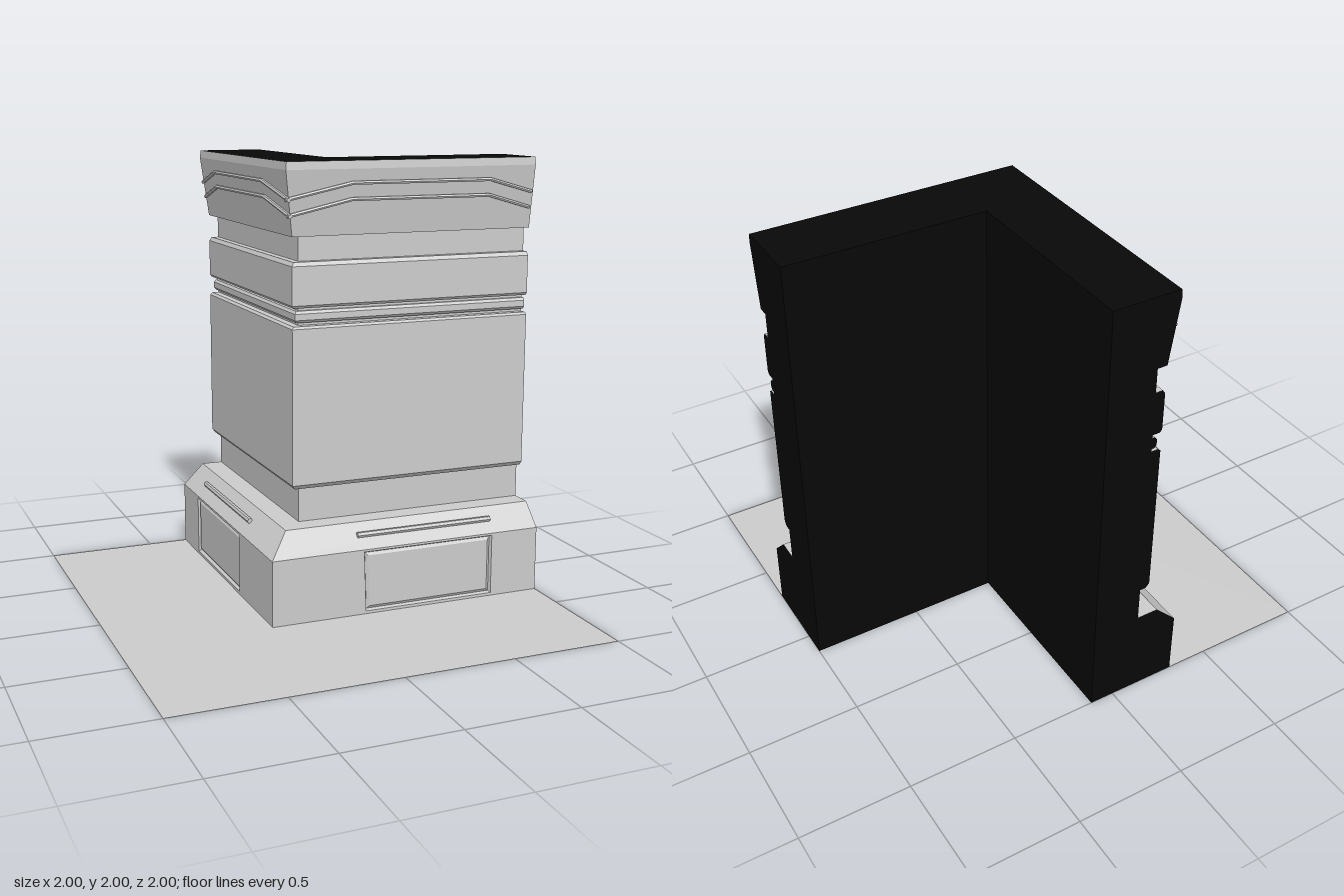
import * as THREE from 'three';

const grey = new THREE.MeshStandardMaterial({ color: 0xcccccc, side: THREE.DoubleSide, flatShading: true });
const black = new THREE.MeshStandardMaterial({ color: 0x080808, side: THREE.DoubleSide, flatShading: true });
const V = (x, y, z) => new THREE.Vector3(x, y, z);

// Skin of quads across rows of points
function loft(rows, closed = false) {
  const pts = [];
  for (let k = 0; k < rows.length - 1; k++) {
    const n = rows[k].length;
    for (let j = 0; j < (closed ? n : n - 1); j++) {
      const i = (j + 1) % n;
      const [a, b, c, d] = [rows[k][j], rows[k + 1][j], rows[k + 1][i], rows[k][i]];
      pts.push(a, b, c, a, c, d);
    }
  }
  const g = new THREE.BufferGeometry().setFromPoints(pts);
  g.computeVertexNormals();
  return g;
}

// Sweep a [distance, height] profile round the outside corner
function sweep(profile) {
  return loft([
    profile.map(([d, y]) => V(-d, y, -1)),
    profile.map(([d, y]) => V(-d, y, d)),
    profile.map(([d, y]) => V(1, y, d)),
  ]);
}

// Copy of a front-wing part reflected onto the side wing
function reflected(geometry) {
  const g = geometry.index ? geometry.toNonIndexed() : geometry.clone();
  g.applyMatrix4(new THREE.Matrix4().set(0, 0, -1, 0, 0, 1, 0, 0, -1, 0, 0, 0, 0, 0, 0, 1));
  const p = g.attributes.position, a = new THREE.Vector3(), b = new THREE.Vector3();
  for (let i = 0; i < p.count; i += 3) {
    a.fromBufferAttribute(p, i + 1);
    b.fromBufferAttribute(p, i + 2);
    p.setXYZ(i + 1, b.x, b.y, b.z);
    p.setXYZ(i + 2, a.x, a.y, a.z);
  }
  g.computeVertexNormals();
  return g;
}

// Six-sided rod through [x, y, z] points running along x, with closed ends
function rod(points, r) {
  const ring = ([x, y, z], rad) => Array.from({ length: 6 }, (_, i) => {
    const a = (i * Math.PI) / 3;
    return V(x, y + rad * Math.sin(a), z + rad * Math.cos(a));
  });
  const rows = points.map((p) => ring(p, r));
  return loft([ring(points[0], 0), ...rows, ring(points[points.length - 1], 0)], true);
}

export function createModel() {
  const group = new THREE.Group();
  const add = (name, geometry, material = grey) => {
    const mesh = new THREE.Mesh(geometry, material);
    mesh.name = name;
    group.add(mesh);
  };
  const addPair = (name, geometry, material) => {
    add(name + 'Front', geometry, material);
    add(name + 'Side', reflected(geometry), material);
  };

  // Wall mouldings above the plinth face
  const profile = [
    [0.31, 0.3], [0.21, 0.4], [0.11, 0.4], [0.11, 0.56],
    [0.138, 0.56], [0.155, 0.58], [0.155, 1.28], [0.143, 1.29], [0.11, 1.29],
    [0.11, 1.303], [0.124, 1.303], [0.134, 1.315], [0.134, 1.343], [0.124, 1.355], [0.11, 1.355],
    [0.11, 1.37], [0.145, 1.37], [0.155, 1.382], [0.155, 1.553], [0.143, 1.57], [0.11, 1.57],
    [0.11, 1.68], [0.155, 1.68], [0.198, 1.965], [0.194, 2],
  ];
  add('wallMouldings', sweep(profile));

  // Floor around the plinth, and the dark top and inner faces
  add('floor', sweep([[1, 0], [0.31, 0]]));
  add('wallBacking', sweep([[0.194, 2], [-0.11, 2], [-0.11, 0]]), black);

  // Dark cut ends of both wings
  const section = [[0.31, 0], ...profile, [-0.11, 2], [-0.11, 0]];
  const cap = new THREE.ShapeGeometry(new THREE.Shape(section.map(([d, y]) => new THREE.Vector2(-d, y))));
  cap.rotateY(Math.PI / 2).translate(1, 0, 0);
  addPair('wallEnd', cap, black);

  // Plinth faces with an opening for the recessed panel
  const corners = [[0.765, 0.013], [0.135, 0.013], [0.125, 0.29], [0.765, 0.29]];
  const face = new THREE.Shape([[-0.31, 0], [1, 0], [1, 0.3], [-0.31, 0.3]].map((p) => new THREE.Vector2(...p)));
  face.holes.push(new THREE.Path(corners.map((p) => new THREE.Vector2(...p))));
  addPair('plinthFace', new THREE.ShapeGeometry(face).translate(0, 0, 0.31));

  // Panel set in a narrow groove
  const mid = [0.447, 0.151];
  const ring = (inset, z) => corners.map(([x, y]) =>
    V(x - Math.sign(x - mid[0]) * inset, y - Math.sign(y - mid[1]) * inset, z));
  const centre = corners.map(() => V(mid[0], mid[1], 0.304));
  addPair('plinthPanel', loft([ring(0, 0.31), ring(0.007, 0.296), ring(0.02, 0.304), centre], true));

  // Rod lying on the plinth slope
  addPair('plinthRod', rod([[0.11, 0.356, 0.263], [0.775, 0.356, 0.263]], 0.013));

  // Two bent trim rods on the sloping crown
  for (const [name, y, ends] of [['lower', 1.835, [-0.185, 0.985]], ['upper', 1.905, [-0.197, 0.99]]]) {
    const path = [[ends[0], y - 0.066], [0.11, y], [0.775, y], [ends[1], y - 0.06]];
    const onSlope = path.map(([x, h]) => [x, h, 0.155 + (h - 1.68) * 0.151 + 0.006]);
    addPair(name + 'CrownTrim', rod(onSlope, 0.009));
  }
  return group;
}
